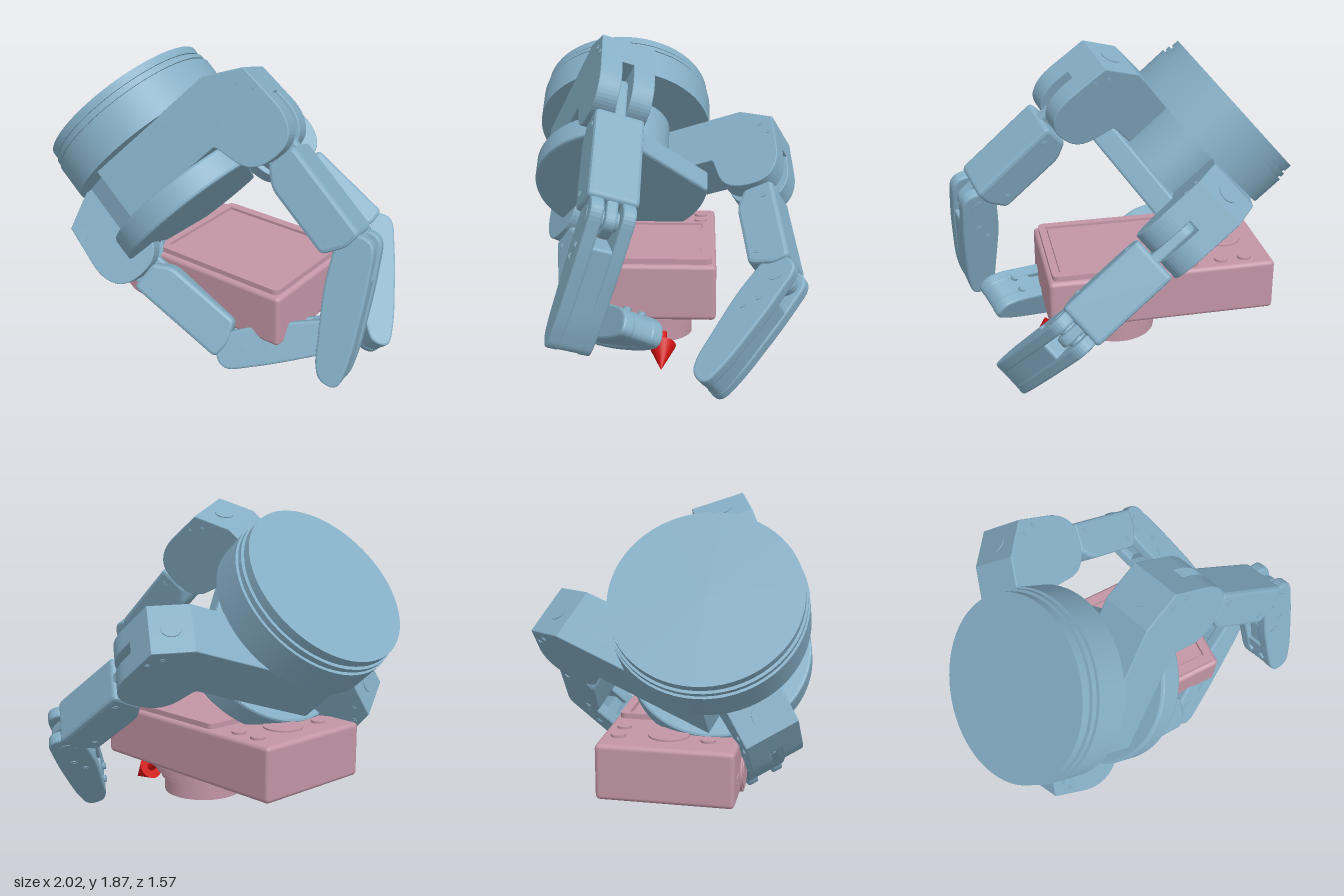
import * as THREE from 'three';
import { RoundedBoxGeometry } from 'three/addons/geometries/RoundedBoxGeometry.js';

const blue = new THREE.MeshStandardMaterial({ color: 0x84adc4 });
const pink = new THREE.MeshStandardMaterial({ color: 0xc295a5 });
const red = new THREE.MeshStandardMaterial({ color: 0xd01010 });

function add(parent, name, geometry, material, x = 0, y = 0, z = 0) {
  const mesh = new THREE.Mesh(geometry, material);
  mesh.name = name;
  mesh.position.set(x, y, z);
  parent.add(mesh);
  return mesh;
}

// Closed outline with rounded corners; each point is [x, y, radius]
function outline(points) {
  const shape = new THREE.Shape();
  const n = points.length;
  points.forEach(([x, y, r = 0], i) => {
    const c = new THREE.Vector2(x, y);
    const toward = ([px, py]) => {
      const d = new THREE.Vector2(px, py).sub(c);
      return d.setLength(Math.min(r, d.length() * 0.49)).add(c);
    };
    const a = toward(points[(i + n - 1) % n]);
    const b = toward(points[(i + 1) % n]);
    if (i === 0) shape.moveTo(a.x, a.y);
    else shape.lineTo(a.x, a.y);
    if (r > 0) shape.quadraticCurveTo(x, y, b.x, b.y);
  });
  shape.closePath();
  return shape;
}

// Outline extruded to a given width, centred on z, with a small bevel
function slab(points, width, bevel = 0.012) {
  const g = new THREE.ExtrudeGeometry(outline(points), {
    depth: width - 2 * bevel, bevelEnabled: bevel > 0, bevelThickness: bevel,
    bevelSize: bevel, bevelOffset: -bevel, bevelSegments: 2, curveSegments: 8,
  });
  return g.translate(0, 0, -width / 2 + bevel);
}

// Cylinder lying along x or z
const rodX = (r, len, seg = 48) => new THREE.CylinderGeometry(r, r, len, seg).rotateZ(-Math.PI / 2);
const rodZ = (r, len, seg = 24) => new THREE.CylinderGeometry(r, r, len, seg).rotateX(Math.PI / 2);

function screws(parent, spots, width, r = 0.02) {
  for (const [x, y] of spots) {
    add(parent, 'sideScrew', rodZ(r, width + 0.008, 16), blue, x, y);
    add(parent, 'sideScrewCore', rodZ(r * 0.5, width + 0.014, 6), blue, x, y);
  }
}

// Group running along +x from joint a towards joint b
function linkGroup(parent, name, a, b) {
  const g = new THREE.Group();
  g.name = name;
  g.position.set(a[0], a[1], 0);
  g.rotation.z = Math.atan2(b[1] - a[1], b[0] - a[0]);
  parent.add(g);
  return g;
}

function buildFinger({ name, angle, offset, root, reach, j2, tip }) {
  const pivot = new THREE.Group();
  pivot.name = name;
  pivot.rotation.x = THREE.MathUtils.degToRad(angle);
  const finger = new THREE.Group();
  finger.position.z = offset;
  pivot.add(finger);
  const j1 = [0.69, 0.65 + reach];

  // Knuckle: two cheeks around a shorter core leave a narrow hinge slot
  const cheek = [[0.285, root], [0.285, 0.6 + reach], [0.39, 0.8 + reach], [0.72, 0.83 + reach, 0.1],
    [0.85, 0.74 + reach, 0.12], [0.83, 0.49 + reach, 0.13], [0.6, 0.42 + reach, 0.02], [0.6, root]];
  const core = [[0.285, root], [0.285, 0.6 + reach], [0.39, 0.8 + reach], [0.56, 0.815 + reach],
    [0.56, 0.44 + reach], [0.6, 0.4 + reach], [0.6, root]];
  for (const s of [-1, 1]) add(finger, 'knuckleCheek', slab(cheek, 0.12, 0.006), blue, 0, 0, s * 0.092);
  add(finger, 'knuckleCore', slab(core, 0.08, 0), blue);
  screws(finger, [[0.42, 0.72 + reach], [0.49, 0.77 + reach]], 0.304, 0.016);
  const plug = add(finger, 'knucklePlug', new THREE.CylinderGeometry(0.055, 0.055, 0.012, 24), blue,
    0.338, 0.7 + reach, 0);
  plug.rotation.z = Math.atan2(0.2, 0.105);

  // Middle link with a hinge tongue at each end
  const len = Math.hypot(j2[0] - j1[0], j2[1] - j1[1]);
  const mid = linkGroup(finger, 'middleLink', j1, j2);
  add(mid, 'middleBody', slab([[0.16, -0.07, 0.02], [0.16, 0.1, 0.03], [len - 0.06, 0.1, 0.03],
    [len - 0.05, 0.0, 0.03], [len - 0.1, -0.13, 0.03], [0.26, -0.13, 0.04]], 0.27, 0.02), blue);
  add(mid, 'hingeTongue', slab([[-0.1, -0.1, 0.08], [-0.1, 0.1, 0.08], [len + 0.08, 0.08, 0.07],
    [len + 0.08, -0.09, 0.07]], 0.06), blue);
  add(mid, 'hingePin', rodZ(0.05, 0.28), blue);
  screws(mid, [[0.24, 0.04], [len - 0.16, -0.07]], 0.27);

  // Fingertip: side cheeks, recessed pad and a solid end
  const end = linkGroup(finger, 'fingertip', j2, tip);
  const side = [[-0.1, -0.1, 0.1], [-0.11, 0.1, 0.1], [0.2, 0.11, 0.1], [0.54, 0.1, 0.1],
    [0.71, 0.07, 0.07], [0.69, -0.04, 0.06], [0.6, -0.075, 0.04], [0.2, -0.115, 0.1]];
  for (const s of [-1, 1]) add(end, 'fingertipCheek', slab(side, 0.07), blue, 0, 0, s * 0.083);
  add(end, 'fingertipCore', slab([[0.12, -0.07], [0.12, 0.1, 0.02], [0.54, 0.095, 0.1], [0.705, 0.07, 0.06],
    [0.685, -0.04, 0.05], [0.6, -0.07, 0.02], [0.44, -0.085], [0.44, -0.065]], 0.11, 0), blue);
  add(end, 'padBridge', new THREE.BoxGeometry(0.03, 0.06, 0.11), blue, 0.2, -0.08);
  for (const s of [-1, 1]) {
    add(end, 'padScrew', new THREE.CylinderGeometry(0.022, 0.022, 0.04, 16), blue, 0.54, -0.073, s * 0.045);
  }
  add(end, 'hingePin', rodZ(0.05, 0.242), blue);
  screws(end, [[0.16, 0.01], [0.24, -0.04]], 0.236, 0.022);
  return pivot;
}

function buildHand() {
  // Local x runs from the drum to the palm, y and z span the palm
  const hand = new THREE.Group();
  hand.name = 'gripper';
  hand.position.set(-0.68, 1.437, 0.265);
  hand.rotation.z = Math.atan2(-0.66, 0.75);

  // Drum made of stacked rings: [radius, start, end]
  const rings = [[0.495, 0, 0.045], [0.485, 0.045, 0.06], [0.505, 0.06, 0.085],
    [0.495, 0.085, 0.1], [0.513, 0.1, 0.29]];
  for (const [r, a, b] of rings) add(hand, 'drumRing', rodX(r, b - a, 64), blue, (a + b) / 2);
  add(hand, 'trunk', rodX(0.27, 0.36), blue, 0.46);
  add(hand, 'thumbMount', new THREE.BoxGeometry(0.32, 0.38, 0.45), blue, 0.445, -0.09, 0.125);

  // Round palm plate, cut straight on the side of the paired fingers
  const disc = new THREE.Shape();
  const half = Math.acos(0.34 / 0.505);
  disc.absarc(0, 0, 0.505, -Math.PI / 4 + half, Math.PI * 1.75 - half, false);
  disc.closePath();
  const toHand = new THREE.Matrix4().makeBasis(
    new THREE.Vector3(0, 1, 0), new THREE.Vector3(0, 0, 1), new THREE.Vector3(1, 0, 0));
  const plate = new THREE.ExtrudeGeometry(disc, {
    depth: 0.11, bevelThickness: 0.015, bevelSize: 0.015, bevelOffset: -0.015, bevelSegments: 2, curveSegments: 64,
  });
  add(hand, 'palmPlate', plate.applyMatrix4(toHand), blue, 0.615);

  hand.add(buildFinger({ name: 'upperFinger', angle: -23.5, offset: 0.265, root: -0.2, reach: 0,
    j2: [1.464, 0.645], tip: [1.873, 0.135] }));
  hand.add(buildFinger({ name: 'rearFinger', angle: -66, offset: -0.29, root: -0.2, reach: 0.1,
    j2: [1.43, 0.865], tip: [1.89, 0.475] }));
  hand.add(buildFinger({ name: 'thumb', angle: 145, offset: 0.025, root: 0.03, reach: -0.14,
    j2: [1.485, 0.33], tip: [1.77, -0.235] }));
  return hand;
}

function buildCamera() {
  const cam = new THREE.Group();
  cam.name = 'heldCamera';
  add(cam, 'cameraBody', new RoundedBoxGeometry(1.31, 0.305, 0.73, 3, 0.025), pink, -0.135, 0.508, 0.075);

  // Raised screen: rim with an inset panel
  const rim = outline([[-0.42, -0.34, 0.04], [0.42, -0.34, 0.04], [0.42, 0.34, 0.04], [-0.42, 0.34, 0.04]]);
  rim.holes.push(outline([[-0.38, -0.29], [-0.38, 0.29], [0.38, 0.29], [0.38, -0.29]]));
  add(cam, 'screenRim', new THREE.ExtrudeGeometry(rim, { depth: 0.035, bevelEnabled: false })
    .rotateX(-Math.PI / 2), pink, 0.075, 0.655, 0.075);
  add(cam, 'screen', new THREE.BoxGeometry(0.74, 0.03, 0.56), pink, 0.075, 0.665, 0.075);

  // Dial and buttons beside the screen
  add(cam, 'controlDial', new THREE.CylinderGeometry(0.11, 0.11, 0.02, 32), pink, -0.57, 0.66, 0.06);
  for (const [x, z] of [[-0.49, -0.2], [-0.63, -0.2], [-0.49, 0.28], [-0.63, 0.28]]) {
    add(cam, 'button', new THREE.CylinderGeometry(0.04, 0.04, 0.024, 20), pink, x, 0.662, z);
  }

  // Knob and slot on the front edge
  add(cam, 'edgeKnob', rodZ(0.11, 0.03, 32), pink, -0.47, 0.45, 0.435);
  add(cam, 'edgeKnobCap', rodZ(0.09, 0.04, 32), pink, -0.47, 0.45, 0.435);
  add(cam, 'edgeSlot', new THREE.BoxGeometry(0.085, 0.03, 0.01), pink, -0.675, 0.485, 0.44);

  // Stepped lens with a recessed opening
  const profile = [[0, 0.2], [0.1, 0.2], [0.1, 0.15], [0.23, 0.15], [0.23, 0.24], [0.25, 0.24],
    [0.25, 0.28], [0.28, 0.28], [0.28, 0.33], [0.32, 0.33], [0.32, 0.37]];
  profile.slice(1).forEach((b, i) => {
    const pair = [profile[i], b].map(([r, y]) => new THREE.Vector2(r, y));
    add(cam, 'lensRing', new THREE.LatheGeometry(pair, 48), pink, 0.08, 0, 0.075);
  });
  const hub = add(cam, 'lensHub', new THREE.CylinderGeometry(0.06, 0.06, 0.04, 4), pink, 0.08, 0.19, 0.075);
  hub.rotation.y = 0.4;
  return cam;
}

// Arrow pointing along the approach direction
function buildArrow() {
  const arrow = new THREE.Group();
  arrow.name = 'approachArrow';
  add(arrow, 'arrowHead', new THREE.ConeGeometry(0.075, 0.16, 24), red, 0, 0.08, 0);
  add(arrow, 'arrowShaft', new THREE.CylinderGeometry(0.025, 0.025, 0.08, 16), red, 0, -0.04, 0);
  arrow.position.set(0.48, 0.2, 0);
  arrow.quaternion.setFromUnitVectors(new THREE.Vector3(0, 1, 0), new THREE.Vector3(0.8, -0.55, 0).normalize());
  return arrow;
}

export function createModel() {
  const model = new THREE.Group();
  model.name = 'gripperHoldingCamera';
  model.add(buildHand(), buildCamera(), buildArrow());
  return model;
}
